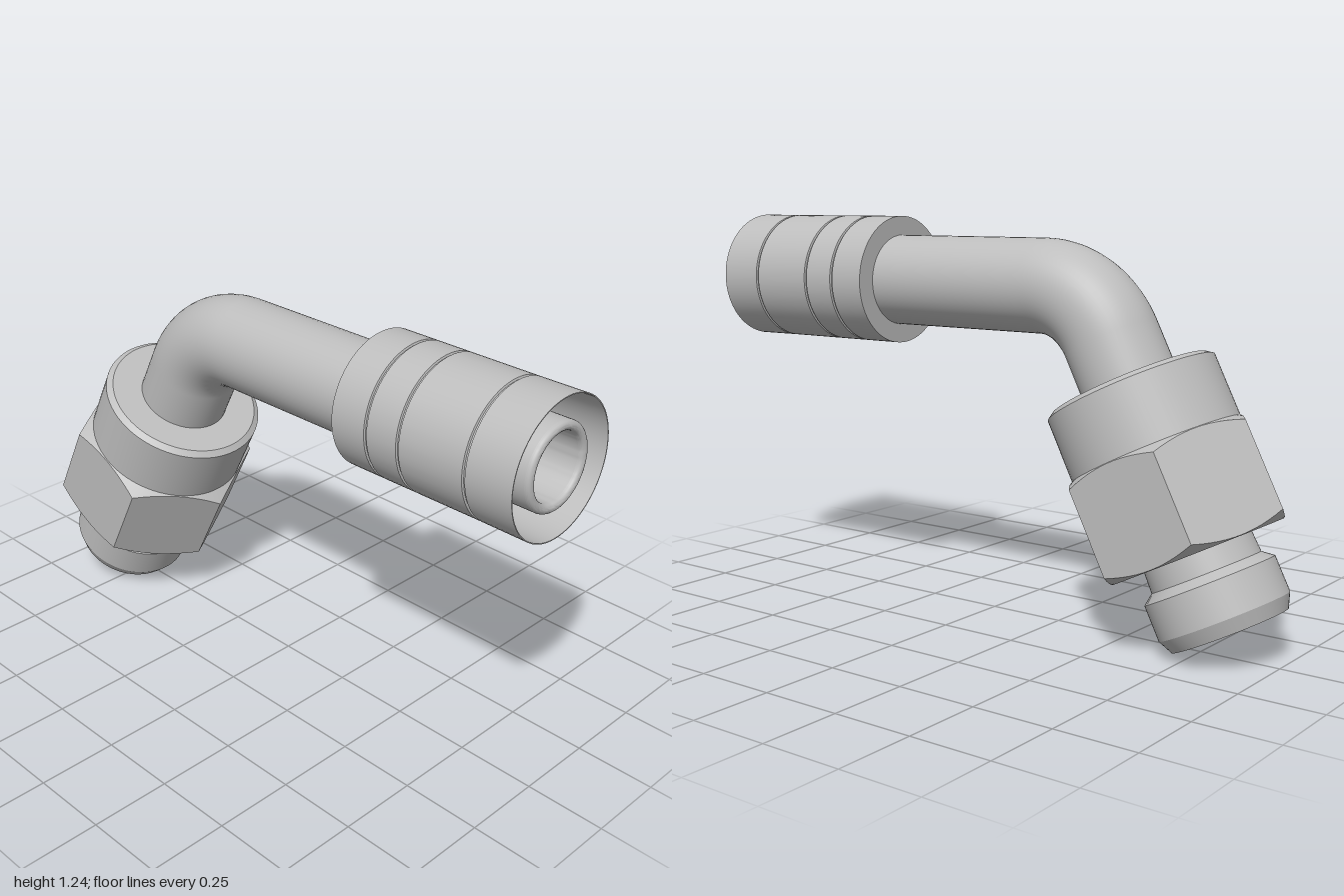
import * as THREE from 'three';
import { toCreasedNormals } from 'three/addons/utils/BufferGeometryUtils.js';

const TILT = THREE.MathUtils.degToRad(27); // lean of the lower axis from vertical
const AXIS_Y = 1.04; // height of the horizontal axis
const BEND = new THREE.Vector2(-0.19, AXIS_Y - 0.27); // bend centre
const BEND_R = 0.27;

// Centre line: slanted leg, circular bend, horizontal leg
class BentLine extends THREE.Curve {
  constructor(lower, upper) {
    super();
    this.lower = lower;
    this.upper = upper;
  }
  getPoint(u, target = new THREE.Vector3()) {
    const sweep = Math.PI / 2 - TILT;
    const arc = BEND_R * sweep;
    const s = u * (this.lower + arc + this.upper) - this.lower;
    const a = Math.PI / 2 + sweep * (1 - THREE.MathUtils.clamp(s / arc, 0, 1));
    target.set(BEND.x + BEND_R * Math.cos(a), BEND.y + BEND_R * Math.sin(a), 0);
    if (s < 0) {
      target.x += s * Math.sin(TILT);
      target.y += s * Math.cos(TILT);
    } else if (s > arc) target.x += s - arc;
    return target;
  }
}

// Turned part; the profile runs up the outside and down the inside
function turned(profile) {
  const points = profile.map(([r, y]) => new THREE.Vector2(r, y));
  return toCreasedNormals(new THREE.LatheGeometry(points, 72), 0.45);
}

// Hexagon whose corners are cut by a cone at both ends
function hexNut(top, bottom, flat, faceR, neckR) {
  const geo = new THREE.CylinderGeometry(1, 1, 4, 72, 4, true);
  const pos = geo.attributes.position;
  for (let i = 0; i < pos.count; i++) {
    const row = Math.round(2 - pos.getY(i));
    const a = Math.atan2(pos.getZ(i), pos.getX(i));
    const sector = Math.PI / 3;
    const off = a - (Math.floor(a / sector + 1e-6) + 0.5) * sector;
    const hexR = flat / Math.cos(off);
    const cut = (hexR - faceR) * 0.58;
    const r = [faceR, hexR, hexR, faceR, neckR][row];
    const y = [top, top - cut, bottom + cut, bottom, bottom][row];
    pos.setXYZ(i, r * Math.cos(a), y, r * Math.sin(a));
  }
  return toCreasedNormals(geo, 0.35);
}

export function createModel() {
  const model = new THREE.Group();
  model.name = 'hoseFitting';
  const steel = new THREE.MeshStandardMaterial({ color: 0xbdbdbd, side: THREE.DoubleSide });
  steel.name = 'steel grey';

  const add = (parent, name, geometry) => {
    const mesh = new THREE.Mesh(geometry, steel);
    mesh.name = name;
    parent.add(mesh);
    return mesh;
  };

  // Bent pipe and its bore
  add(model, 'bentPipe', new THREE.TubeGeometry(new BentLine(0.2, 0.62), 96, 0.145, 48));
  add(model, 'pipeBore', new THREE.TubeGeometry(new BentLine(0.76, 0.72), 96, 0.1, 40));

  // Slanted screw fitting, y = 0 at the collar top
  const fitting = new THREE.Group();
  fitting.name = 'screwFitting';
  fitting.position.set(-0.495, 0.765, 0);
  fitting.rotation.z = -TILT;
  model.add(fitting);

  add(fitting, 'collar', turned([
    [0.262, -0.23], [0.262, -0.014], [0.243, 0], [0.14, 0],
  ]));
  add(fitting, 'hexNut', hexNut(-0.207, -0.525, 0.265, 0.262, 0.15));
  add(fitting, 'threadedEnd', turned([
    [0.1, -0.6], [0.13, -0.765], [0.178, -0.765], [0.2, -0.722],
    [0.2, -0.613], [0.168, -0.588], [0.165, -0.52],
  ]));

  // Crimped sleeve and hose nipple, y runs along +x
  const hoseEnd = new THREE.Group();
  hoseEnd.name = 'hoseEnd';
  hoseEnd.position.set(0, AXIS_Y, 0);
  hoseEnd.rotation.z = -Math.PI / 2;
  model.add(hoseEnd);

  const sleeve = [[0.14, 0.38], [0.206, 0.38]];
  for (const x of [0.505, 0.62, 0.845]) { // shallow grooves
    sleeve.push([0.206, x - 0.005], [0.2, x - 0.003], [0.2, x + 0.003], [0.206, x + 0.005]);
  }
  sleeve.push([0.207, 1], [0.204, 1], [0.188, 0.46], [0.12, 0.46]);
  add(hoseEnd, 'sleeve', turned(sleeve));

  const nipple = [[0.13, 0.45]];
  for (let i = 0; i <= 10; i++) { // rounded lip
    const a = (i / 10) * Math.PI;
    nipple.push([0.115 + 0.015 * Math.cos(a), 0.98 + 0.015 * Math.sin(a)]);
  }
  nipple.push([0.1, 0.5]);
  add(hoseEnd, 'nipple', turned(nipple));

  return model;
}
